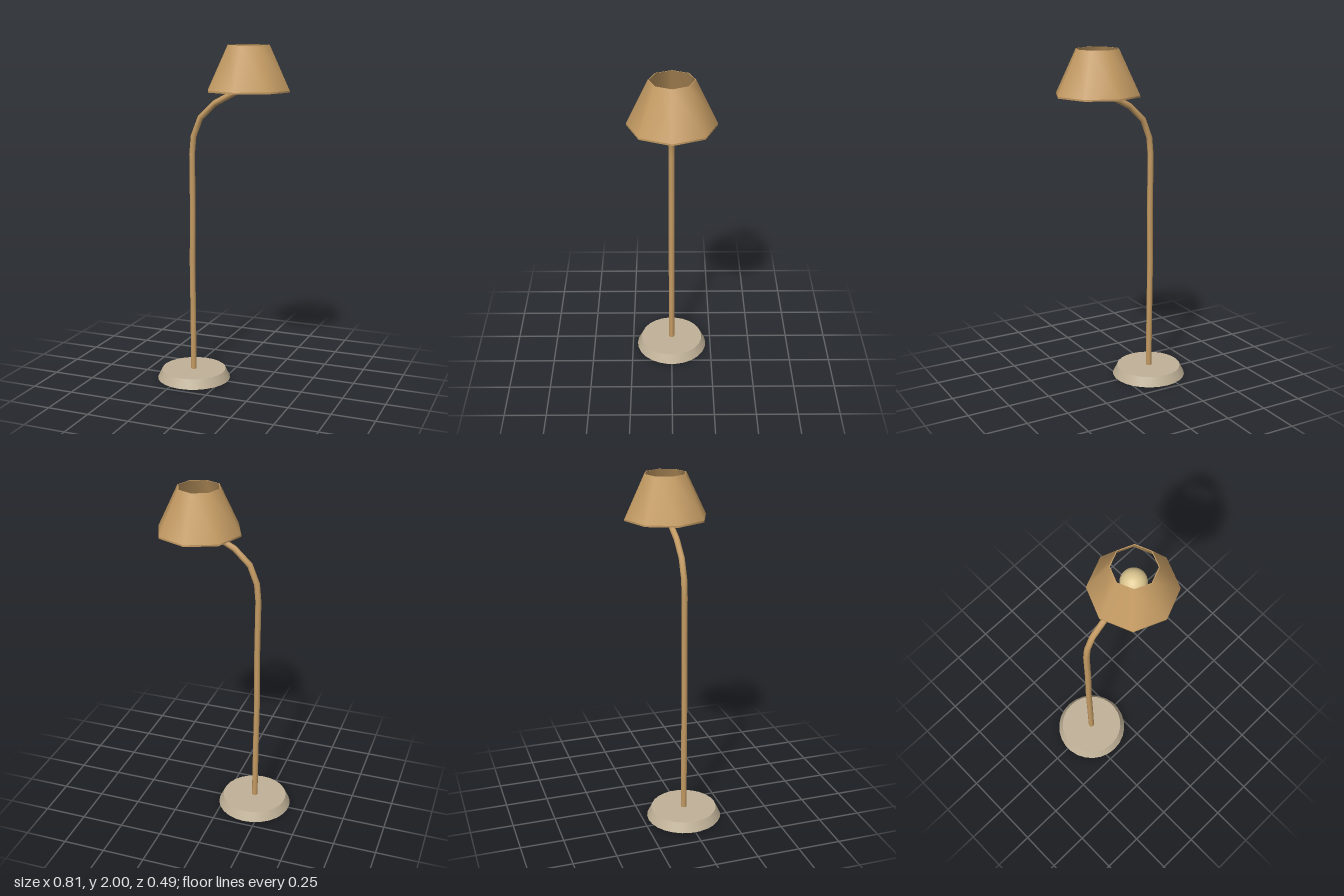
import * as THREE from 'three';

// Curve with straight runs between points, sampled exactly at its points
class Polyline extends THREE.Curve {
  constructor(points) {
    super();
    this.points = points;
  }
  getPoint(t, target = new THREE.Vector3()) {
    const n = this.points.length - 1;
    const f = THREE.MathUtils.clamp(t, 0, 1) * n;
    const i = Math.min(Math.floor(f), n - 1);
    return target.lerpVectors(this.points[i], this.points[i + 1], f - i);
  }
  getPointAt(u, target) { return this.getPoint(u, target); }
  getTangentAt(u, target) { return this.getTangent(u, target); }
}

export function createModel() {
  const model = new THREE.Group();
  model.name = 'floorLamp';

  const material = (name, color) => {
    const m = new THREE.MeshStandardMaterial({ color });
    m.name = name;
    return m;
  };
  const tan = material('tan', 0xc49b63);
  const stone = material('stone', 0xc0b197);
  const cream = material('cream', 0xdcc690);

  const add = (name, geometry, mat, x = 0, y = 0, parent = model) => {
    const mesh = new THREE.Mesh(geometry, mat);
    mesh.name = name;
    mesh.position.set(x, y, 0);
    parent.add(mesh);
    return mesh;
  };

  // Bevelled round foot
  add('base', new THREE.CylinderGeometry(0.193, 0.22, 0.055, 26), stone, -0.183, 0.0275);

  // Upright that bends over towards the bulb
  const path = [
    [-0.184, 0.04], [-0.186, 0.4], [-0.189, 0.72], [-0.185, 1.05], [-0.187, 1.37],
    [-0.177, 1.475], [-0.134, 1.583], [-0.045, 1.668], [0.155, 1.775],
  ].map(([x, y]) => new THREE.Vector3(x, y, 0));
  add('pole', new THREE.TubeGeometry(new Polyline(path), path.length - 1, 0.018, 8), tan);

  // Bulb inside the shade
  add('bulb', new THREE.SphereGeometry(0.073, 20, 14), cream, 0.16, 1.825);

  // Eight-sided shade with a thin wall, open at both ends
  const shade = new THREE.Group();
  shade.name = 'shade';
  shade.position.x = 0.16;
  model.add(shade);
  const profile = [
    [0.244, 1.742], [0.244, 1.752], [0.125, 2], [0.12, 2], [0.238, 1.742], [0.244, 1.742],
  ].map(([r, y]) => new THREE.Vector2(r, y));
  const names = ['shadeLip', 'shadeOutside', 'shadeTopRim', 'shadeInside', 'shadeBottomRim'];
  names.forEach((name, i) => {
    add(name, new THREE.LatheGeometry([profile[i], profile[i + 1]], 8), tan, 0, 0, shade);
  });

  return model;
}
